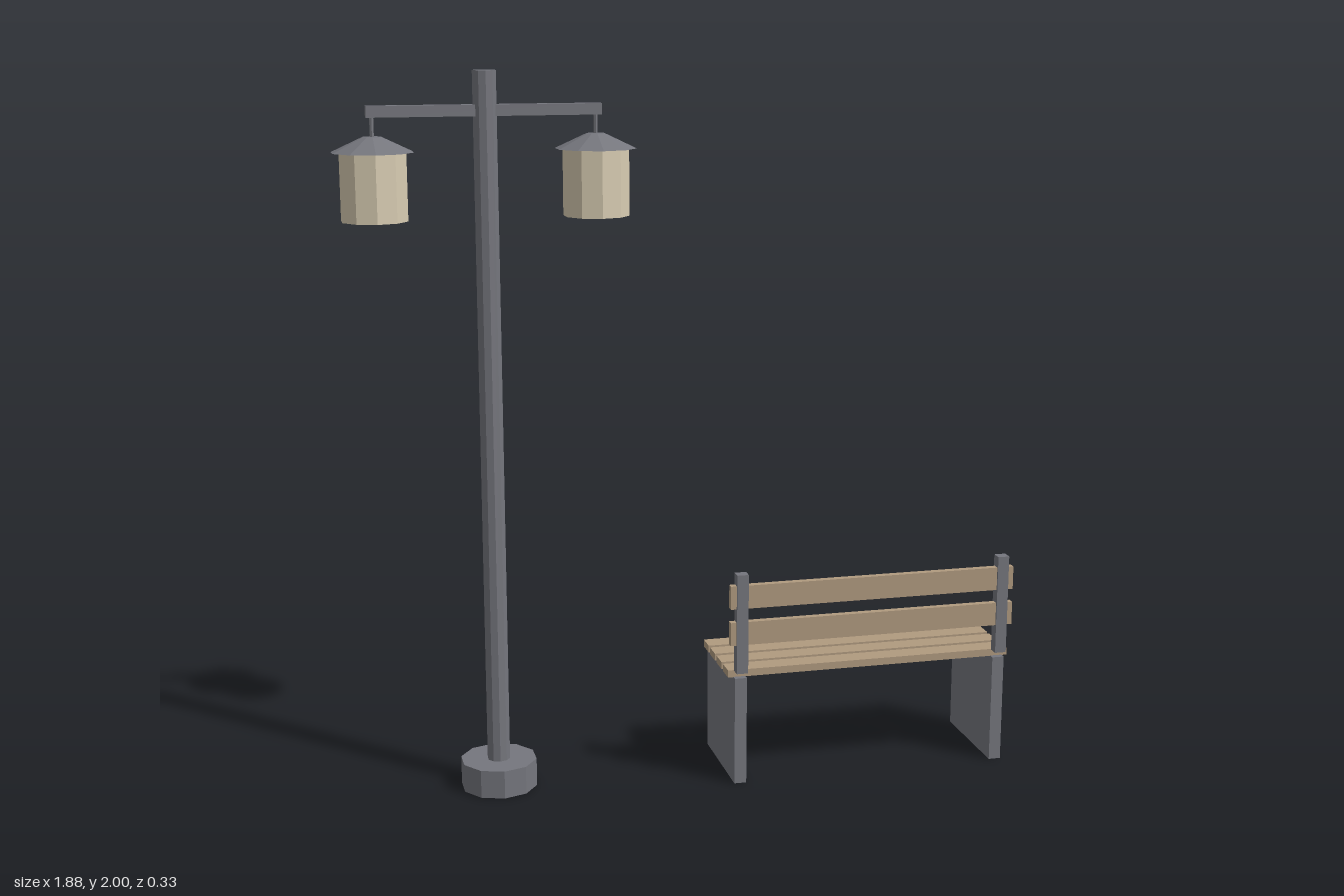
import * as THREE from 'three';

export function createModel() {
  const model = new THREE.Group();
  const material = (name, color) => {
    const m = new THREE.MeshStandardMaterial({ color, flatShading: true });
    m.name = name;
    return m;
  };
  const metal = material('grey metal', 0x75767d);
  const wood = material('wood', 0xb09a7f);
  const glass = material('frosted glass', 0xd8ccb2);

  const add = (parent, name, geometry, mat, x, y, z) => {
    const mesh = new THREE.Mesh(geometry, mat);
    mesh.name = name;
    mesh.position.set(x, y, z);
    parent.add(mesh);
  };
  const box = (w, h, d) => new THREE.BoxGeometry(w, h, d);
  const tube = (top, bottom, h, sides = 10) => new THREE.CylinderGeometry(top, bottom, h, sides);

  // Street lamp: base, pole, crossbar and two hanging lanterns
  const lamp = new THREE.Group();
  lamp.name = 'streetLamp';
  lamp.position.set(-0.537, 0, -0.0075);
  add(lamp, 'base', tube(0.108, 0.108, 0.08), metal, 0, 0.04, 0);
  add(lamp, 'pole', tube(0.032, 0.032, 1.94), metal, 0, 1.03, 0);
  add(lamp, 'crossbar', box(0.624, 0.03, 0.03), metal, 0, 1.896, 0);
  for (const side of [-1, 1]) {
    const lantern = new THREE.Group();
    lantern.name = side < 0 ? 'rightLantern' : 'leftLantern';
    lantern.position.x = side * 0.297;
    add(lantern, 'hanger', tube(0.006, 0.006, 0.07, 6), metal, 0, 1.855, 0);
    add(lantern, 'roof', tube(0.025, 0.111, 0.04), metal, 0, 1.811, 0);
    add(lantern, 'shade', tube(0.09, 0.09, 0.18), glass, 0, 1.701, 0);
    lamp.add(lantern);
  }
  model.add(lamp);

  // Bench: panel legs, back posts, seat slats and back slats
  const bench = new THREE.Group();
  bench.name = 'bench';
  bench.position.x = 0.518;
  for (const side of [-1, 1]) {
    add(bench, 'leg', box(0.035, 0.314, 0.311), metal, side * 0.387, 0.157, -0.0075);
    add(bench, 'backPost', box(0.033, 0.288, 0.031), metal, side * 0.387, 0.477, 0.148);
  }
  for (let i = 0; i < 4; i++) {
    add(bench, 'seatSlat', box(0.84, 0.021, 0.058), wood, 0, 0.3235, -0.119 + i * 0.0735);
  }
  for (const y of [0.449, 0.555]) {
    add(bench, 'backSlat', box(0.84, 0.067, 0.02), wood, 0, y, 0.148);
  }
  model.add(bench);

  return model;
}
